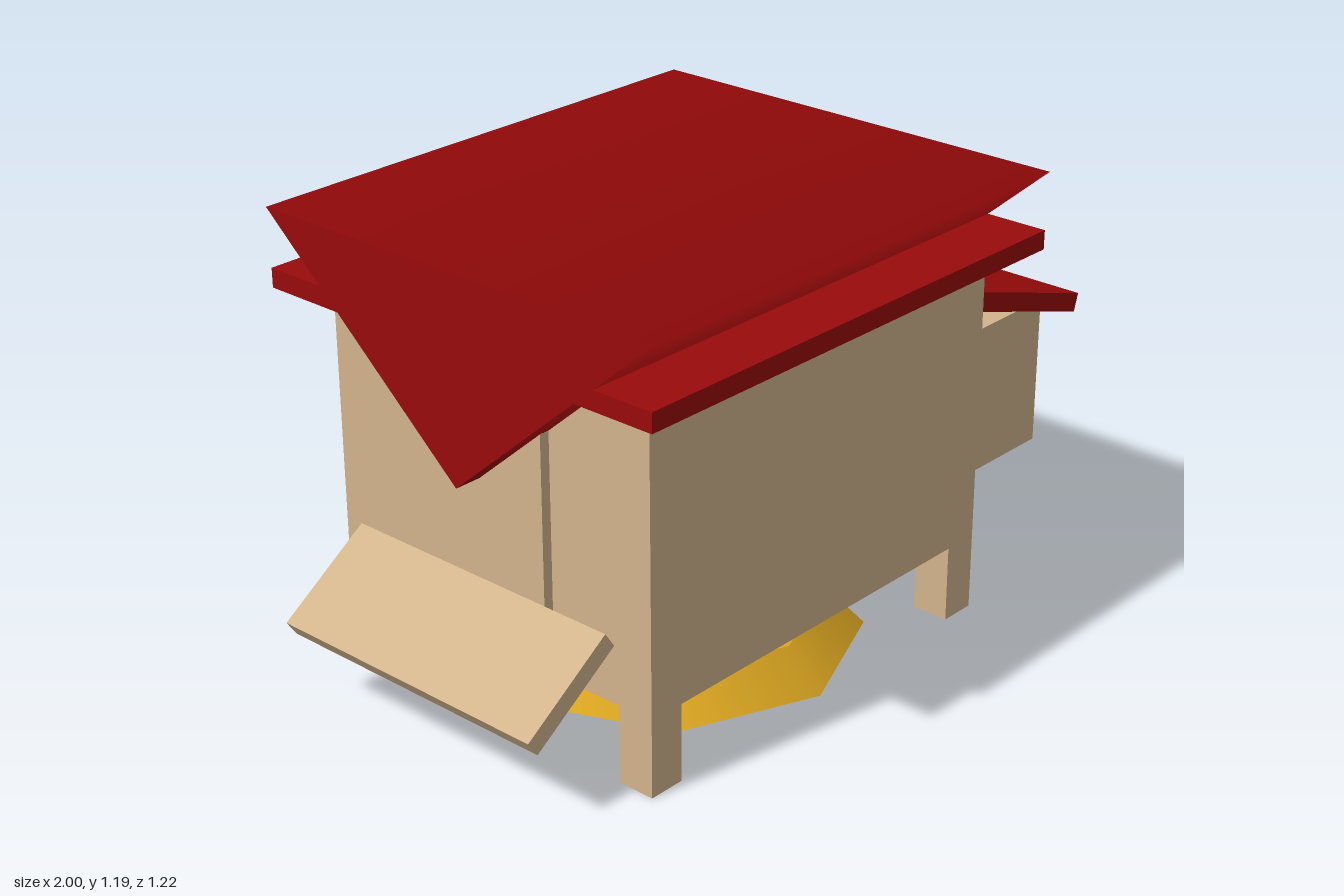
import * as THREE from 'three';

const wood = new THREE.MeshStandardMaterial({ color: 0xd2b48c });
const red = new THREE.MeshStandardMaterial({ color: 0x990a0a });
const gold = new THREE.MeshStandardMaterial({ color: 0xdaa520 });

export function createModel() {
  const model = new THREE.Group();
  model.name = 'henHouse';

  const add = (name, geometry, material, x, y, z = 0) => {
    const mesh = new THREE.Mesh(geometry, material);
    mesh.name = name;
    mesh.position.set(x, y, z);
    model.add(mesh);
    return mesh;
  };
  const box = (name, w, h, d, material, x, y, z = 0) =>
    add(name, new THREE.BoxGeometry(w, h, d), material, x, y, z);

  // House body on four corner legs
  const midX = -0.105;
  box('body', 1.21, 0.79, 1.01, wood, midX, 0.6);
  for (const sx of [-1, 1]) {
    for (const sz of [-1, 1]) {
      box('leg', 0.1, 0.205, 0.1, wood, midX + sx * 0.555, 0.1025, sz * 0.455);
    }
  }

  // Eave slab and the wide three-sided roof, point down
  box('eaveSlab', 1.41, 0.05, 1.21, red, midX, 1.01);
  const prism = new THREE.CylinderGeometry(0.352, 0.352, 1.41, 3, 1, false, -Math.PI / 2);
  prism.rotateZ(Math.PI / 2);
  prism.scale(1, 1, 2);
  add('roof', prism, red, midX, 1.01);

  // Nest box with sloping lid
  box('nestBox', 0.4, 0.4, 0.81, wood, 0.7, 0.505);
  box('nestLid', 0.504, 0.05, 0.91, red, 0.75, 0.758).rotation.z = -0.3;

  // Door and ramp
  box('door', 0.03, 0.475, 0.4, wood, -0.722, 0.593);
  box('ramp', 0.302, 0.05, 0.81, wood, -0.862, 0.303).rotation.z = 0.6;

  // Eight-sided tray under the house
  add('tray', new THREE.CylinderGeometry(0.403, 0.504, 0.1, 8), gold, midX, 0.05);

  return model;
}
